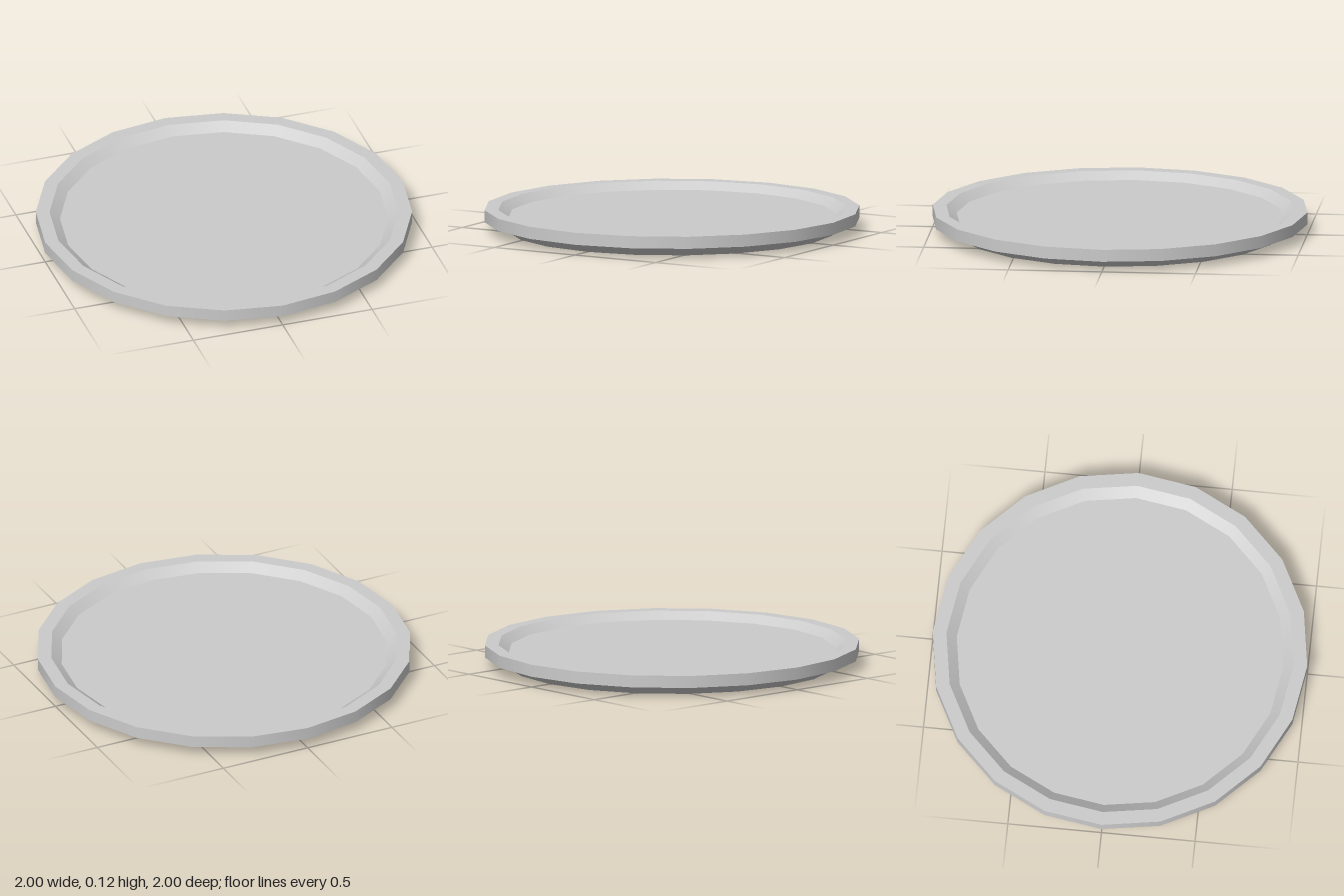
import * as THREE from 'three';
import { mergeGeometries } from 'three/addons/utils/BufferGeometryUtils.js';

const SIDES = 20;

// Revolve each stretch of a profile on its own: smooth around, sharp between stretches
function revolve(name, profile, material) {
  const bands = [];
  for (let i = 0; i < profile.length - 1; i++) {
    const ends = [profile[i], profile[i + 1]].map(([r, y]) => new THREE.Vector2(r, y));
    bands.push(new THREE.LatheGeometry(ends, SIDES));
  }
  const mesh = new THREE.Mesh(mergeGeometries(bands), material);
  mesh.name = name;
  return mesh;
}

export function createModel() {
  const group = new THREE.Group();
  group.name = 'plate';
  const material = new THREE.MeshStandardMaterial({ color: 0xcccccc });

  // Flat underside and flared lower wall
  group.add(revolve('base', [[0, 0], [0.872, 0], [0.957, 0.055]], material));
  // Lip: underside, outer wall and top
  group.add(revolve('rim', [[0.957, 0.055], [1, 0.055], [1, 0.12], [0.927, 0.12]], material));
  // Inner slope and shallow floor
  group.add(revolve('dish', [[0.927, 0.12], [0.872, 0.08], [0, 0.08]], material));

  return group;
}
